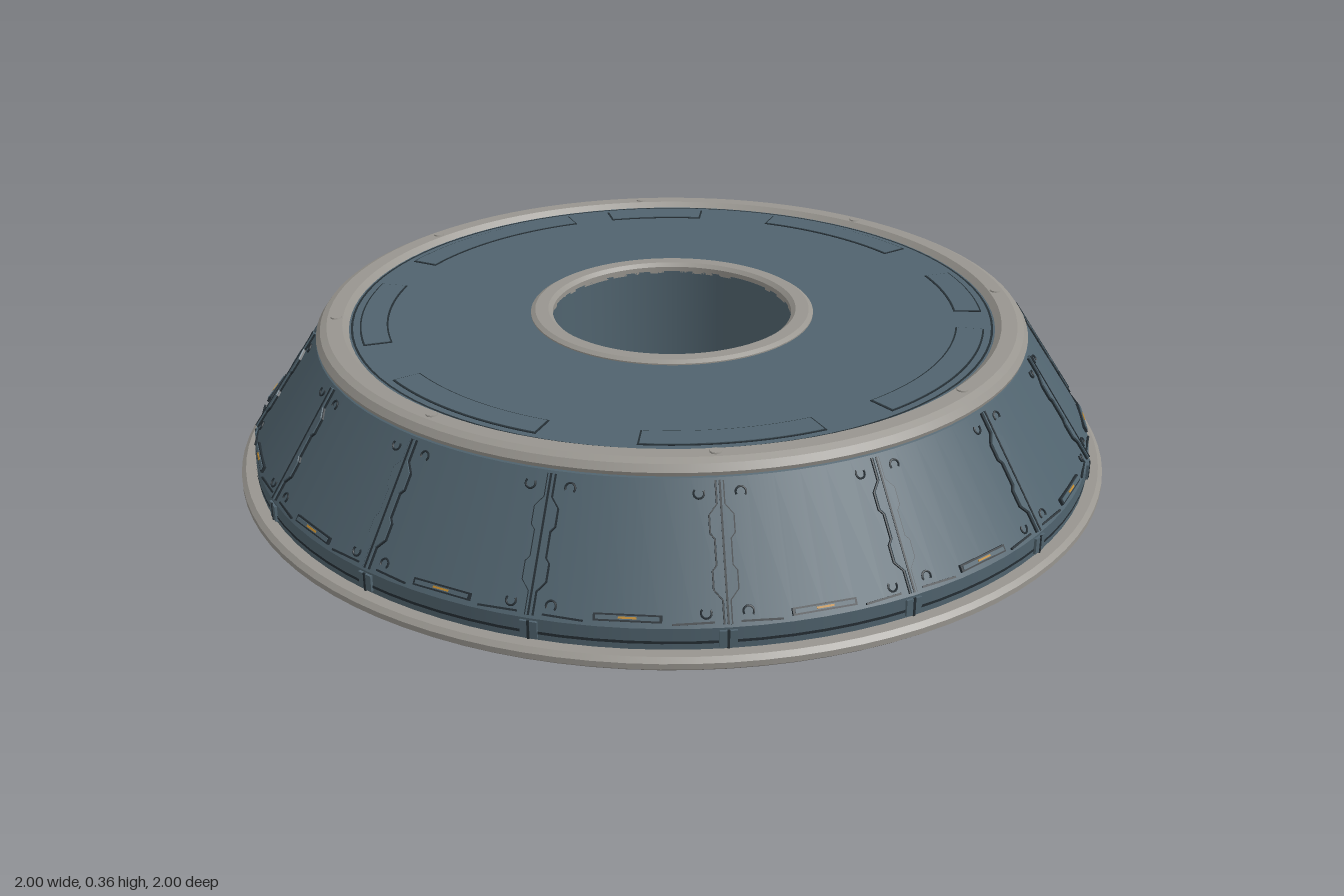
import * as THREE from 'three';
import { mergeGeometries } from 'three/addons/utils/BufferGeometryUtils.js';

const SEG = 96;
const mat = (name, color) => {
  const m = new THREE.MeshStandardMaterial({ color });
  m.name = name;
  return m;
};

// Revolved profile with a sharp edge at each point; profiles run counterclockwise in (radius, y)
function ring(name, points, material) {
  const bands = [];
  for (let i = 0; i + 1 < points.length; i++) {
    const pair = [points[i], points[i + 1]].map(([r, y]) => new THREE.Vector2(r, y));
    bands.push(new THREE.LatheGeometry(pair, SEG));
  }
  const mesh = new THREE.Mesh(mergeGeometries(bands), material);
  mesh.name = name;
  return mesh;
}

// Flat arc-shaped plate lying in the xz plane, centred on an angle measured from +z
function arcPlate(name, r0, r1, centre, half, y, height, material) {
  const s = new THREE.Shape();
  const mid = centre - Math.PI / 2;
  s.absarc(0, 0, r1, mid - half, mid + half, false);
  s.absarc(0, 0, r0, mid + half, mid - half, true);
  s.closePath();
  const g = new THREE.ExtrudeGeometry(s, { depth: height, bevelEnabled: false, curveSegments: 12 });
  g.rotateX(-Math.PI / 2);
  const mesh = new THREE.Mesh(g, material);
  mesh.position.y = y;
  mesh.name = name;
  return mesh;
}

function box(name, w, h, d, x, y, z, material) {
  const mesh = new THREE.Mesh(new THREE.BoxGeometry(w, h, d), material);
  mesh.position.set(x, y, z);
  mesh.name = name;
  return mesh;
}

// Strap outline: narrow at both ends, wide in the middle, mirrored left to right
function strapGeometry(grow, depth) {
  const half = [[0.006, -0.135], [0.006, -0.09], [0.022, -0.07], [0.022, -0.035], [0.014, -0.025],
    [0.014, 0.025], [0.022, 0.035], [0.022, 0.07], [0.006, 0.09], [0.006, 0.135]];
  const right = half.map(([x, y]) => new THREE.Vector2(x + grow, y));
  const left = half.map(([x, y]) => new THREE.Vector2(-x - grow, y)).reverse();
  return new THREE.ExtrudeGeometry(new THREE.Shape([...right, ...left]), { depth, bevelEnabled: false });
}

export function createModel() {
  const root = new THREE.Group();
  root.name = 'ringPlatform';
  const slate = mat('slate', 0x50636e);
  const trim = mat('greyTrim', 0x98958f);
  const dark = mat('darkSeam', 0x252e34);
  const amber = mat('amberLight', 0xc08a30);

  // Main shell: underside, skirt, sloping wall, deck and bore
  root.add(ring('body', [
    [0.29, 0.012], [0.955, 0.012], [0.965, 0.02], [0.965, 0.09], [0.81, 0.325],
    [0.76, 0.345], [0.29, 0.345],
  ], slate));
  root.add(ring('boreWall', [[0.275, 0.335], [0.275, 0.02]], slate));

  // Grey edge rings
  root.add(ring('baseRim', [
    [0.93, 0.012], [0.94, 0.007], [0.965, 0.008], [0.99, 0.016], [1, 0.024], [1, 0.036],
    [0.99, 0.045], [0.96, 0.045],
  ], trim));
  root.add(ring('deckRim', [
    [0.79, 0.325], [0.808, 0.328], [0.81, 0.336], [0.8, 0.35], [0.785, 0.357],
    [0.75, 0.357], [0.735, 0.344],
  ], trim));
  root.add(ring('boreTopRim', [
    [0.275, 0.335], [0.325, 0.335], [0.325, 0.348], [0.315, 0.354], [0.285, 0.354], [0.275, 0.346], [0.275, 0.33],
  ], trim));
  root.add(ring('boreBottomRim', [
    [0.275, 0.022], [0.275, 0.012], [0.285, 0.006], [0.315, 0.006], [0.325, 0.012], [0.325, 0.02],
  ], trim));
  root.add(ring('deckGroove', [[0.732, 0.3455], [0.727, 0.3455]], dark));
  root.add(ring('skirtGroove', [[0.9665, 0.058], [0.9665, 0.064]], dark));

  // Wall straps, brackets, slots and lights, once per panel
  const slope = Math.atan2(0.155, 0.235);
  const strapEdge = strapGeometry(0.003, 0.004);
  const strapTop = strapGeometry(0, 0.007);
  const hook = new THREE.TorusGeometry(0.01, 0.0022, 5, 10, Math.PI * 1.4);
  const wallFrame = (angle, name) => {
    const turn = new THREE.Group();
    turn.name = name;
    turn.rotation.y = angle;
    const face = new THREE.Group();
    face.position.set(0, 0.2075, 0.8875);
    face.rotation.x = -slope;
    turn.add(face);
    root.add(turn);
    return { turn, face };
  };
  for (let i = 0; i < 16; i++) {
    const angle = (i * Math.PI) / 8;
    const seam = wallFrame(angle, 'wallSeam');
    const edge = new THREE.Mesh(strapEdge, dark);
    edge.name = 'strapEdge';
    const strap = new THREE.Mesh(strapTop, slate);
    strap.name = 'strap';
    seam.face.add(edge, strap, box('seamLine', 0.004, 0.27, 0.002, 0, 0, 0.0075, dark));
    for (const sx of [-1, 1]) {
      for (const sy of [-1, 1]) {
        const h = new THREE.Mesh(hook, dark);
        h.name = 'cornerHook';
        h.position.set(sx * 0.04, sy * 0.112, 0.001);
        h.rotation.z = sx > 0 ? -0.7 : 2.4;
        seam.face.add(h);
      }
      seam.face.add(box('footLine', 0.08, 0.004, 0.004, sx * 0.065, -0.13, -0.001, dark));
    }
    seam.turn.add(box('skirtClip', 0.035, 0.035, 0.01, 0, 0.068, 0.965, slate));
    seam.turn.add(box('skirtSeam', 0.005, 0.04, 0.003, 0, 0.068, 0.97, dark));

    const panel = wallFrame(angle + Math.PI / 16, 'panelFoot');
    panel.face.add(box('slotFrame', 0.13, 0.015, 0.006, 0, -0.122, 0.001, dark));
    panel.face.add(box('slotCover', 0.12, 0.008, 0.006, 0, -0.122, 0.003, slate));
    panel.face.add(box('slotLight', 0.035, 0.004, 0.003, 0, -0.122, 0.006, amber));
  }

  // Arc plates on the deck, each with a dark border: [angle, half span]
  const plates = [[0, 0.29], [Math.PI, 0.29]];
  for (const s of [-1, 1]) plates.push([s * 0.85, 0.27], [s * 1.71, 0.36], [s * 2.4, 0.18]);
  for (const [a, half] of plates) {
    root.add(arcPlate('deckPlateBorder', 0.648, 0.712, a, half, 0.343, 0.0035, dark));
    root.add(arcPlate('deckPlate', 0.652, 0.708, a, half - 0.006, 0.343, 0.005, slate));
  }

  // Arc plates under the base
  for (let i = 0; i < 12; i++) {
    const a = (i * Math.PI) / 6;
    root.add(arcPlate('basePlateBorder', 0.846, 0.914, a, 0.12, 0.008, 0.006, dark));
    root.add(arcPlate('basePlate', 0.85, 0.91, a, 0.115, 0.004, 0.008, slate));
  }

  // Small studs along the deck rim and the underside
  const stud = new THREE.CylinderGeometry(0.012, 0.014, 0.008, 10);
  for (let i = 0; i < 8; i++) {
    const a = (i * Math.PI) / 4;
    for (const [name, r, y] of [['deckStud', 0.765, 0.356], ['baseStud', 0.88, 0.004]]) {
      const m = new THREE.Mesh(stud, name === 'deckStud' ? trim : slate);
      m.name = name;
      m.position.set(r * Math.sin(a), y, r * Math.cos(a));
      root.add(m);
    }
  }
  return root;
}
